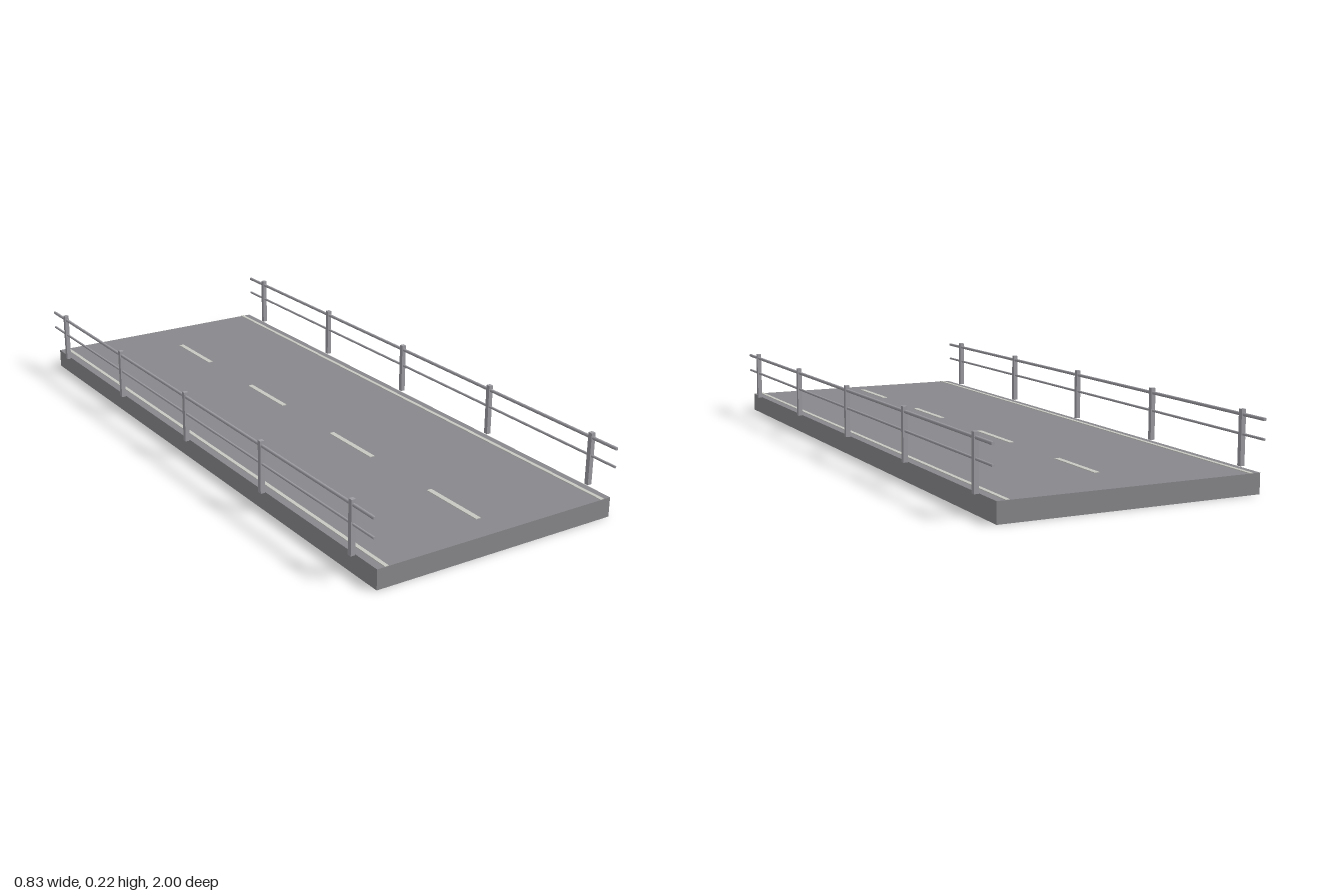
import * as THREE from 'three';

export function createModel() {
  const model = new THREE.Group();
  const material = (name, color) => {
    const m = new THREE.MeshStandardMaterial({ color });
    m.name = name;
    return m;
  };
  const asphalt = material('asphalt grey', 0x88888c);
  const paint = material('road paint', 0xc8c8c2);
  const steel = material('railing steel', 0x9c9ca2);

  const add = (name, geometry, mat, x, y, z) => {
    const mesh = new THREE.Mesh(geometry, mat);
    mesh.name = name;
    mesh.position.set(x, y, z);
    model.add(mesh);
    return mesh;
  };

  // Road slab
  const deckTop = 0.06;
  add('deck', new THREE.BoxGeometry(0.8, deckTop, 2), asphalt, 0, deckTop / 2, 0);

  // Dashed centre line
  const dash = new THREE.BoxGeometry(0.016, 0.002, 0.22);
  for (const z of [-0.7, -0.2, 0.3, 0.8]) add('centreDash', dash, paint, 0, deckTop + 0.001, z);

  // Edge lines and railings, mirrored on both sides
  const edgeLine = new THREE.BoxGeometry(0.012, 0.002, 2);
  const post = new THREE.BoxGeometry(0.014, 0.16, 0.014);
  const rail = (radius) => new THREE.CylinderGeometry(radius, radius, 2, 12).rotateX(Math.PI / 2);
  const topRail = rail(0.005);
  const midRail = rail(0.0038);
  for (const side of [-1, 1]) {
    const label = side > 0 ? 'left' : 'right';
    const railX = side * 0.41;
    add(label + 'EdgeLine', edgeLine, paint, side * 0.37, deckTop + 0.001, 0);
    add(label + 'TopRail', topRail, steel, railX, 0.205, 0);
    add(label + 'MidRail', midRail, steel, railX, 0.15, 0);
    for (let i = -2; i <= 2; i++) add(label + 'Post', post, steel, railX, deckTop + 0.08, i * 0.45);
  }
  return model;
}
